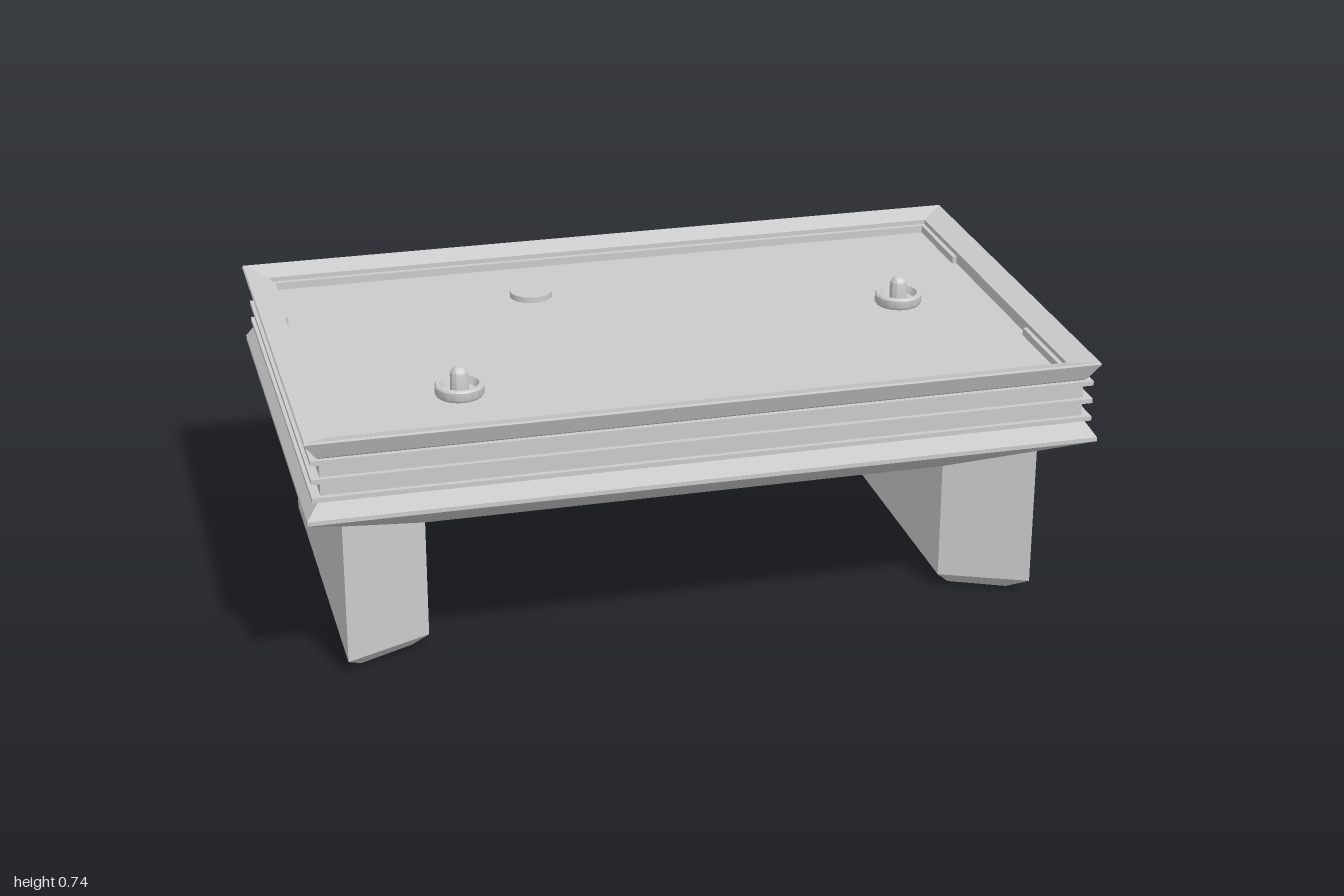
import * as THREE from 'three';
import { toCreasedNormals } from 'three/addons/utils/BufferGeometryUtils.js';

const material = new THREE.MeshStandardMaterial({ color: 0xcccccc });

function add(parent, name, geometry, x = 0, y = 0, z = 0) {
  const mesh = new THREE.Mesh(geometry, material);
  mesh.name = name;
  mesh.position.set(x, y, z);
  parent.add(mesh);
  return mesh;
}

// Four corners of a level rectangle
const rect = (y, hx, hz) => [[hx, y, hz], [hx, y, -hz], [-hx, y, -hz], [-hx, y, hz]];

// Skins four-cornered rings, with optional flat caps on the first and last
function loft(rings, capFirst, capLast, crease = 0.1) {
  const pos = [];
  const quad = (a, b, c, d) => pos.push(...a, ...b, ...c, ...a, ...c, ...d);
  for (let r = 0; r < rings.length - 1; r++) {
    for (let i = 0; i < 4; i++) {
      const j = (i + 1) % 4;
      quad(rings[r][i], rings[r][j], rings[r + 1][j], rings[r + 1][i]);
    }
  }
  if (capFirst) quad(...[...rings[0]].reverse());
  if (capLast) quad(...rings[rings.length - 1]);
  const geo = new THREE.BufferGeometry();
  geo.setAttribute('position', new THREE.Float32BufferAttribute(pos, 3));
  geo.computeVertexNormals();
  return toCreasedNormals(geo, crease);
}

export function createModel() {
  const table = new THREE.Group();
  table.name = 'airHockeyTable';
  const W = 1, D = 0.605, surfaceY = 0.66;

  // Sloping underside, softly shaded
  add(table, 'underside', loft([
    rect(0.355, 0.68, 0.365), rect(0.415, 0.9, 0.46), rect(0.495, W, D),
  ], true, false, 0.8));

  // Ribbed outer side as [height, scale], then the rim and the sunken top
  const side = [[0.495, 1], [0.506, 1], [0.548, 0.97]];
  for (const y of [0.55, 0.598, 0.646]) {
    side.push([y, 0.963], [y, 0.985], [y + 0.012, 0.985], [y + 0.012, 0.963]);
  }
  side.push([0.662, 0.97], [0.705, 1], [0.71, 0.997]);
  add(table, 'cabinet', loft([
    ...side.map(([y, s]) => rect(y, W * s, D * s)),
    rect(0.692, 0.932, 0.542),
    rect(surfaceY, 0.932, 0.542),
  ], false, true));

  // Cushions round the playing surface, open at the goals
  const cushions = new THREE.Group();
  cushions.name = 'cushions';
  table.add(cushions);
  const cushionY = surfaceY + 0.01;
  for (const s of [-1, 1]) {
    add(cushions, 'sideCushion', new THREE.BoxGeometry(1.864, 0.02, 0.014), 0, cushionY, s * 0.535);
    for (const t of [-1, 1]) {
      add(cushions, 'endCushion', new THREE.BoxGeometry(0.012, 0.02, 0.272), s * 0.926, cushionY, t * 0.406);
    }
  }

  // Broad legs, wedge-shaped in plan with bevelled feet
  const legRing = (xo, zo, yo, xi, zi, yi) => [[xo, yo, zo], [xo, yo, -zo], [xi, yi, -zi], [xi, yi, zi]];
  const legGeometry = loft([
    legRing(0.86, 0.4, 0, 0.72, 0.335, 0),
    legRing(0.9, 0.46, 0.04, 0.68, 0.365, 0.04),
    legRing(0.9, 0.46, 0.415, 0.68, 0.365, 0.355),
  ], true, false);
  add(table, 'leftLeg', legGeometry);
  add(table, 'rightLeg', legGeometry).rotation.y = Math.PI;

  // Mallets: a dished base with a domed knob
  const profile = [[0.058, 0], [0.062, 0.006], [0.062, 0.026], [0.058, 0.031], [0.05, 0.031],
    [0.042, 0.012], [0.023, 0.012], [0.023, 0.052]].map(([r, y]) => new THREE.Vector2(r, y));
  for (let i = 1; i <= 6; i++) {
    const a = (i / 6) * Math.PI / 2;
    profile.push(new THREE.Vector2(i === 6 ? 0 : 0.023 * Math.cos(a), 0.052 + 0.024 * Math.sin(a)));
  }
  const malletGeometry = toCreasedNormals(new THREE.LatheGeometry(profile, 32), 0.6);
  add(table, 'rightMallet', malletGeometry, -0.57, surfaceY, 0.29);
  add(table, 'leftMallet', malletGeometry, 0.68, surfaceY, -0.03);

  // Puck
  add(table, 'puck', new THREE.CylinderGeometry(0.057, 0.057, 0.016, 32), -0.26, surfaceY + 0.008, -0.32);

  return table;
}
